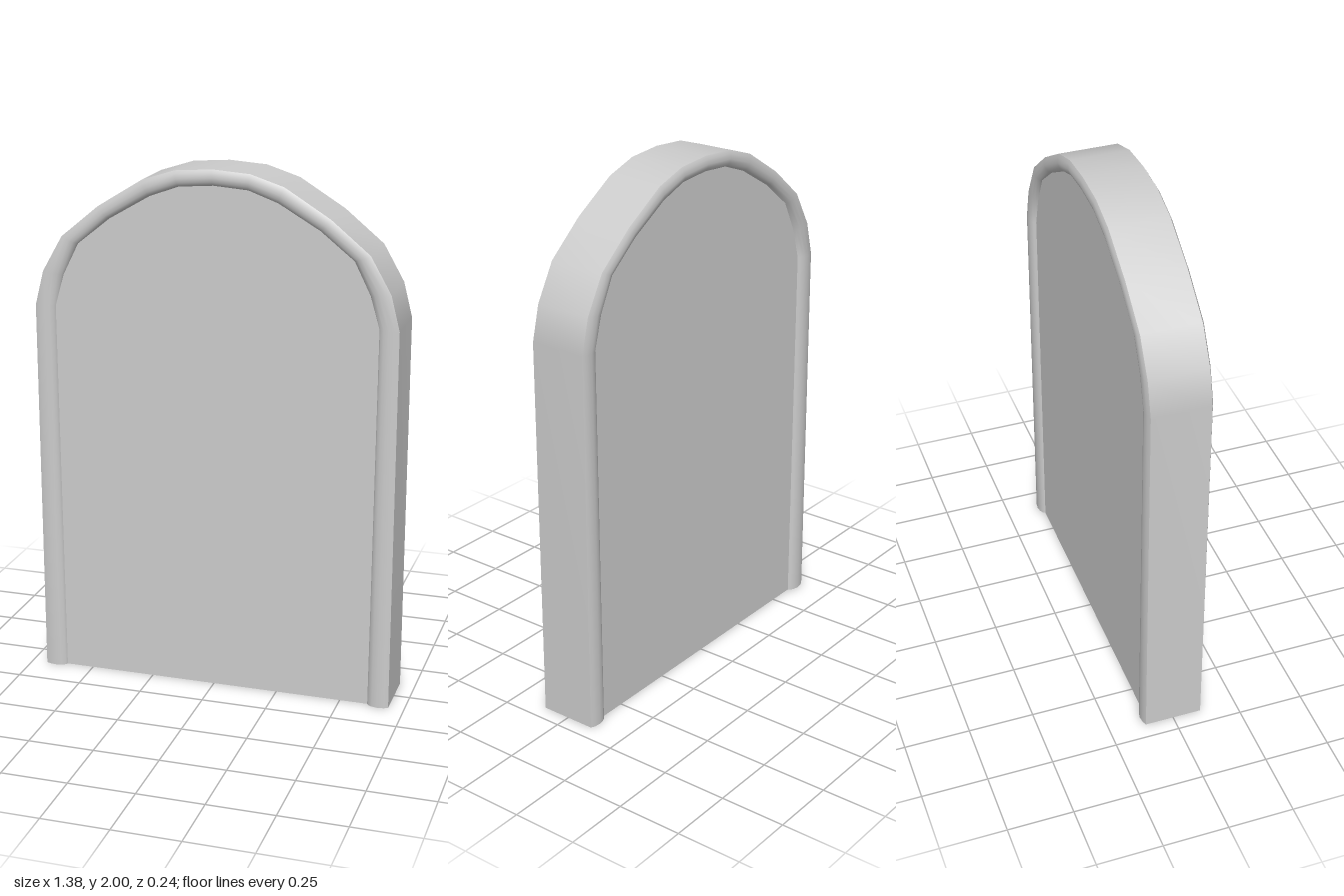
import * as THREE from 'three';

const material = new THREE.MeshStandardMaterial({ color: 0xcccccc, side: THREE.DoubleSide });

// Half outlines from the foot to the crown, mirrored into full arches
const mirror = half => [...half, ...half.slice(0, -1).reverse().map(([x, y]) => [-x, y])];
const outer = mirror([[0.69, 0], [0.69, 1.46], [0.657, 1.59], [0.58, 1.725], [0.435, 1.845],
  [0.265, 1.95], [0.14, 1.99], [0, 2]]);
const inner = mirror([[0.607, 0], [0.615, 1.46], [0.58, 1.58], [0.52, 1.7], [0.395, 1.8],
  [0.24, 1.89], [0.13, 1.93], [0, 1.94]]);

const panelZ = 0.098;

// Surface swept along the arch; each station is [blend from outer to inner, z]
function archStrip(name, stations) {
  const positions = [], index = [], n = stations.length;
  outer.forEach(([ox, oy], i) => {
    const [ix, iy] = inner[i];
    for (const [t, z] of stations) positions.push(ox + (ix - ox) * t, oy + (iy - oy) * t, z);
    if (i === outer.length - 1) return;
    for (let j = 0; j < n - 1; j++) {
      const a = i * n + j, b = a + n;
      index.push(a, a + 1, b, a + 1, b + 1, b);
    }
  });
  const geometry = new THREE.BufferGeometry();
  geometry.setAttribute('position', new THREE.Float32BufferAttribute(positions, 3));
  geometry.setIndex(index);
  geometry.computeVertexNormals();
  const mesh = new THREE.Mesh(geometry, material);
  mesh.name = name;
  return mesh;
}

export function createModel() {
  const group = new THREE.Group();
  group.name = 'archedSlab';

  // Outer wall, open at the foot
  archStrip.call(null, 'outerWall', []);
  group.add(archStrip('outerWall', [[0, 0.11], [0, -0.11]]));

  // Rounded border beads on both faces
  const bead = [[1, panelZ], [0.93, 0.108], [0.75, 0.116], [0.5, 0.12], [0.2, 0.117], [0, 0.11]];
  group.add(archStrip('frontBorder', bead));
  group.add(archStrip('backBorder', bead.map(([t, z]) => [t, -z]).reverse()));

  // Flat recessed panels
  const shape = new THREE.Shape(inner.map(([x, y]) => new THREE.Vector2(x, y)));
  for (const [name, turn] of [['frontPanel', 0], ['backPanel', Math.PI]]) {
    const geometry = new THREE.ShapeGeometry(shape).translate(0, 0, panelZ).rotateY(turn);
    const panel = new THREE.Mesh(geometry, material);
    panel.name = name;
    group.add(panel);
  }
  return group;
}
